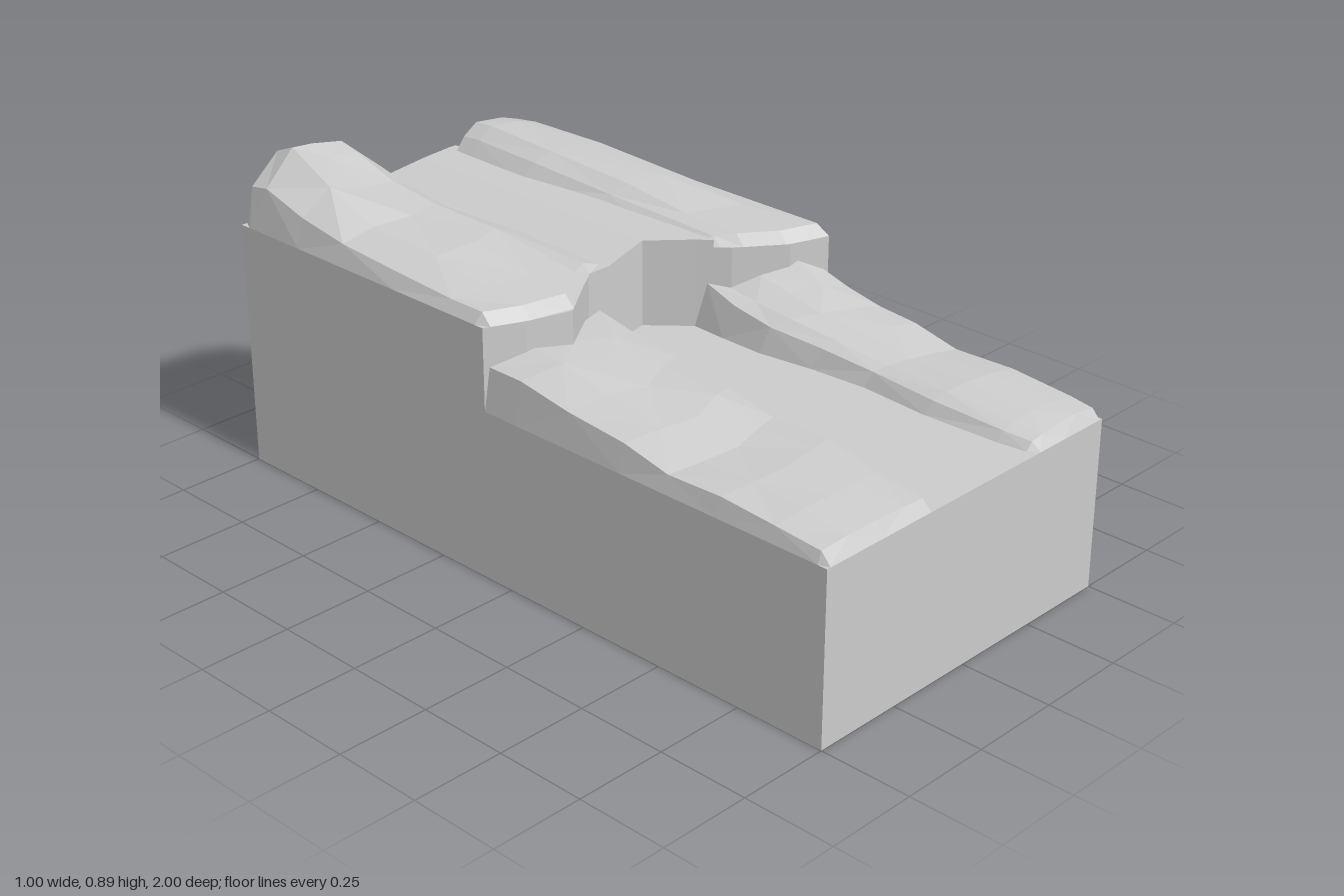
import * as THREE from 'three';

const material = new THREE.MeshStandardMaterial({ color: 0xcccccc, flatShading: true, side: THREE.DoubleSide });
const LOW = 0.46, HIGH = 0.68;

// Top edge of the cliff that divides the two levels: [x, z]
const cliff = [[-0.5, -0.08], [-0.4, -0.035], [-0.28, 0], [-0.1, -0.13], [-0.03, -0.13],
  [0.12, -0.16], [0.21, -0.06], [0.27, 0.01], [0.39, 0.1], [0.5, 0.135]];

// Linear interpolation through a list of [position, value] points
function sample(points, p) {
  for (let i = 1; i < points.length; i++) {
    const [a, va] = points[i - 1], [b, vb] = points[i];
    if (p <= b) return THREE.MathUtils.lerp(va, vb, Math.max(0, (p - a) / (b - a)));
  }
  return points[points.length - 1][1];
}

function mesh(name, geometry) {
  const m = new THREE.Mesh(geometry, material);
  m.name = name;
  return m;
}

// Faceted surface through rows of points, rows along +z and columns along +x
function surface(rows) {
  const n = rows[0].length, index = [];
  for (let r = 0; r + 1 < rows.length; r++) {
    for (let c = 0; c + 1 < n; c++) {
      const a = r * n + c, b = a + n;
      if ((r + c) % 2) index.push(a, b, b + 1, a, b + 1, a + 1);
      else index.push(a, b, a + 1, a + 1, b, b + 1);
    }
  }
  const g = new THREE.BufferGeometry();
  g.setAttribute('position', new THREE.Float32BufferAttribute(rows.flat(2), 3));
  g.setIndex(index);
  const flat = g.toNonIndexed();
  flat.computeVertexNormals();
  return flat;
}

// z at fraction t between the outer end of a level and the cliff
const upperZ = (x, t) => THREE.MathUtils.lerp(-1, sample(cliff, x), t);
const lowerZ = (x, t) => THREE.MathUtils.lerp(sample(cliff, x), 1, t);

// River bank: each row is [t, five heights]; the rim drops to the base level.
// Heights run from the outer side (side = -1 or 1) towards the river.
function bank(name, side, base, zAt, edge, across, rows) {
  const points = rows.map(([t, ...heights]) => {
    const inner = sample(edge, t), outer = side * 0.5;
    const row = [0, ...across, 1].map((f, i) => {
      const x = THREE.MathUtils.lerp(outer, inner, f);
      const y = i === 0 || i === 6 || !heights.length ? base : heights[i - 1];
      return [x, y, zAt(x, t)];
    });
    return side < 0 ? row : row.reverse();
  });
  return mesh(name, surface(points));
}

export function createModel() {
  const group = new THREE.Group();

  // Solid block under the whole landscape
  const block = mesh('groundBlock', new THREE.BoxGeometry(1, LOW, 2));
  block.position.y = LOW / 2;
  group.add(block);

  // Raised rear half with the winding cliff face
  const outline = new THREE.Shape([[-0.5, 1], ...cliff.map(([x, z]) => [x, -z]), [0.5, 1]]
    .map(([x, y]) => new THREE.Vector2(x, y)));
  const deck = mesh('cliffBlock', new THREE.ExtrudeGeometry(outline, { depth: HIGH - LOW, bevelEnabled: false }));
  deck.rotation.x = -Math.PI / 2;
  deck.position.y = LOW;
  group.add(deck);

  // Upper river bed, tilted slightly towards the right bank
  const bed = [[-0.1, 0.68], [-0.03, 0.68], [0.12, 0.695], [0.21, 0.7], [0.24, 0.7]];
  group.add(mesh('upperRiver', surface([0, 0, 0.5, 1, 1].map((t, r) =>
    bed.map(([x, y]) => [x, r === 0 || r === 4 ? HIGH : y, upperZ(x, t)])))));

  // Upper left hill, highest near the back
  group.add(bank('upperRightBank', -1, HIGH, upperZ,
    [[0, -0.07], [0.4, -0.06], [0.7, -0.025], [1, -0.04]], [0.04, 0.24, 0.5, 0.73, 0.88], [
      [0],
      [0.035, 0.79, 0.865, 0.855, 0.835, 0.78],
      [0.1, 0.8, 0.89, 0.835, 0.82, 0.77],
      [0.25, 0.76, 0.82, 0.79, 0.775, 0.74],
      [0.42, 0.735, 0.76, 0.76, 0.755, 0.72],
      [0.65, 0.72, 0.745, 0.75, 0.74, 0.71],
      [0.85, 0.71, 0.72, 0.72, 0.72, 0.7],
      [0.97, 0.71, 0.71, 0.71, 0.71, 0.7],
      [1]]));

  group.add(bank('upperLeftBank', 1, HIGH, upperZ,
    [[0, 0.2], [0.3, 0.19], [0.6, 0.21], [1, 0.21]], [0.04, 0.2, 0.4, 0.71, 0.86], [
      [0],
      [0.035, 0.705, 0.735, 0.755, 0.765, 0.735],
      [0.1, 0.71, 0.745, 0.763, 0.77, 0.74],
      [0.33, 0.71, 0.75, 0.76, 0.76, 0.735],
      [0.6, 0.71, 0.735, 0.75, 0.74, 0.715],
      [0.8, 0.71, 0.715, 0.72, 0.715, 0.71],
      [0.975, 0.71, 0.71, 0.71, 0.71, 0.705],
      [1]]));

  // Lower banks step down from the cliff to the front
  group.add(bank('lowerRightBank', -1, LOW, lowerZ,
    [[0, -0.03], [0.25, -0.05], [0.5, -0.08], [0.7, -0.07], [0.85, -0.11], [1, -0.12]],
    [0.03, 0.25, 0.5, 0.75, 0.93], [
      [0, 0.575, 0.605, 0.59, 0.58, 0.57],
      [0.1, 0.575, 0.6, 0.58, 0.575, 0.555],
      [0.25, 0.55, 0.57, 0.56, 0.555, 0.54],
      [0.42, 0.535, 0.545, 0.545, 0.55, 0.53],
      [0.55, 0.505, 0.51, 0.515, 0.515, 0.505],
      [0.7, 0.51, 0.515, 0.52, 0.515, 0.505],
      [0.85, 0.5, 0.51, 0.51, 0.505, 0.495],
      [0.975, 0.49, 0.495, 0.495, 0.49, 0.485],
      [1]]));

  group.add(bank('lowerLeftBank', 1, LOW, lowerZ,
    [[0, 0.21], [0.2, 0.2], [0.45, 0.24], [0.65, 0.22], [0.85, 0.22], [1, 0.24]],
    [0.04, 0.3, 0.58, 0.8, 0.93], [
      [0, 0.59, 0.63, 0.6, 0.57, 0.58],
      [0.1, 0.565, 0.59, 0.58, 0.56, 0.55],
      [0.22, 0.545, 0.56, 0.56, 0.55, 0.53],
      [0.35, 0.535, 0.545, 0.54, 0.53, 0.515],
      [0.5, 0.505, 0.515, 0.515, 0.51, 0.5],
      [0.7, 0.51, 0.52, 0.52, 0.51, 0.495],
      [0.9, 0.495, 0.505, 0.505, 0.495, 0.485],
      [0.975, 0.485, 0.495, 0.49, 0.485, 0.48],
      [1]]));

  return group;
}
